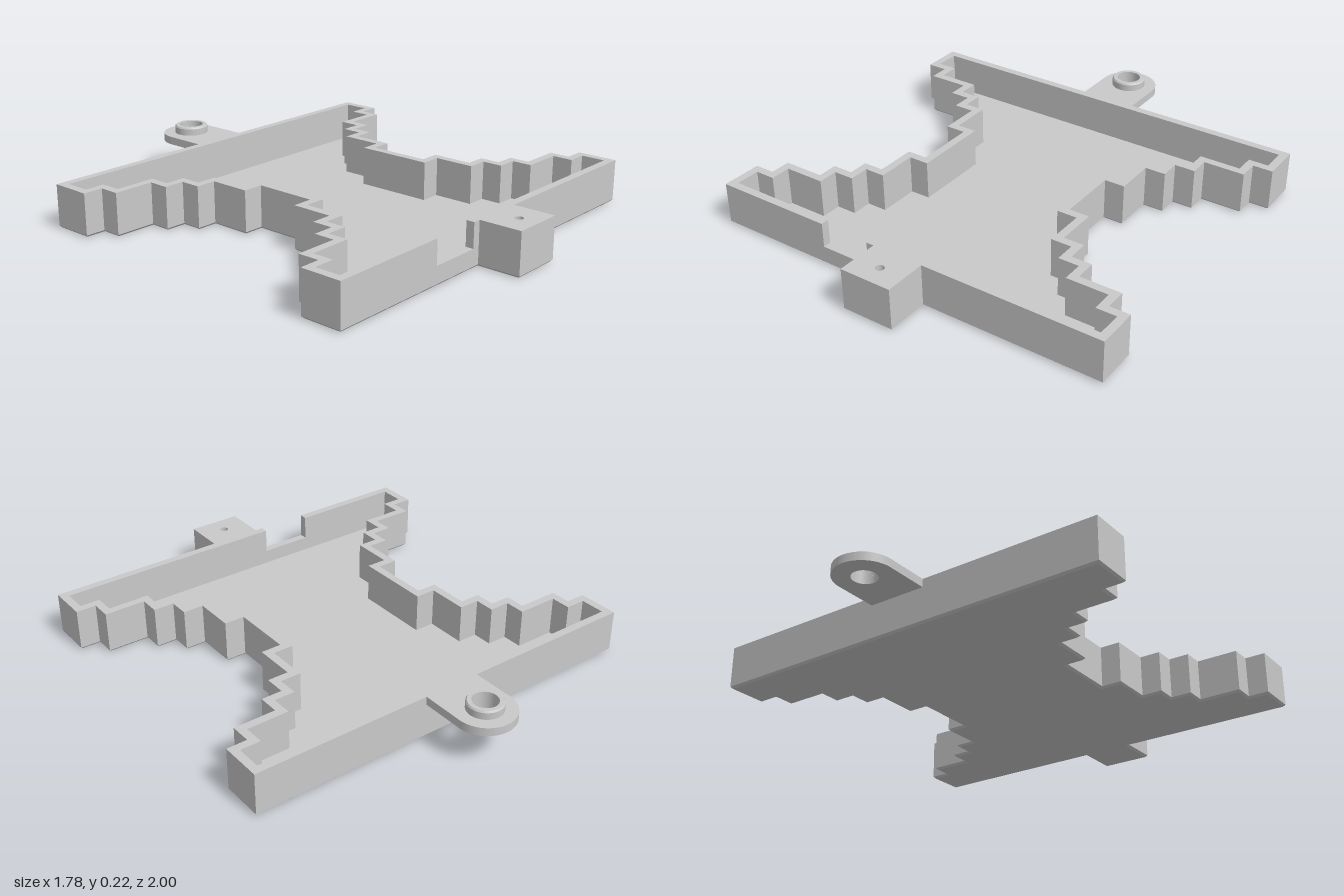
import * as THREE from 'three';

const WALL = 0.035, TOP = 0.185, NOTCH_Y = 0.08, BEVEL = 0.009, FLOOR = 0.018;
const FRONT = 0.818, BACK = -0.693;

// Stepped right-hand edge, [x, z] from back to front
const steps = [
  [0.889, BACK], [0.889, -0.515], [0.802, -0.515], [0.802, -0.427], [0.623, -0.427], [0.623, -0.338],
  [0.534, -0.338], [0.534, -0.249], [0.445, -0.249], [0.445, -0.071], [0.357, -0.071], [0.357, 0.196],
  [0.445, 0.196], [0.445, 0.374], [0.534, 0.374], [0.534, 0.463], [0.623, 0.463], [0.623, 0.552],
  [0.802, 0.552], [0.802, 0.642], [0.889, 0.642], [0.889, FRONT],
];
const block = [[0.113, FRONT], [0.113, 1], [-0.113, 1], [-0.113, FRONT]];

// Offset a right-angled outline inwards
function inset(pts, d) {
  const normal = (a, b) => {
    const dx = b[0] - a[0], dz = b[1] - a[1], l = Math.hypot(dx, dz);
    return [-dz / l, dx / l];
  };
  return pts.map((p, i) => {
    const n1 = normal(pts[(i + pts.length - 1) % pts.length], p);
    const n2 = normal(p, pts[(i + 1) % pts.length]);
    return [p[0] + d * (n1[0] + n2[0]), p[1] + d * (n1[1] + n2[1])];
  });
}

const toVectors = (pts) => pts.map(([x, z]) => new THREE.Vector2(x, -z));

// Holes run anticlockwise, against the clockwise outlines
function circle(x, z, r) {
  return new THREE.Path().absarc(x, -z, r, 0, Math.PI * 2, false);
}

// Extrude a plan shape upwards between two heights
function layer(shape, y0, y1) {
  const g = new THREE.ExtrudeGeometry(shape, { depth: y1 - y0, bevelEnabled: false, curveSegments: 32 });
  return g.rotateX(-Math.PI / 2).translate(0, y0, 0);
}

export function createModel() {
  const group = new THREE.Group();
  const grey = new THREE.MeshStandardMaterial({ color: 0xc9c9c9 });
  grey.name = 'plain grey';
  const add = (name, geometry) => {
    const mesh = new THREE.Mesh(geometry, grey);
    mesh.name = name;
    group.add(mesh);
    return mesh;
  };

  const left = steps.map(([x, z]) => [-x, z]).reverse();
  const body = [...left, ...steps];
  const outer = [...body, ...block];
  const inner = inset(body, WALL);
  const innerReversed = [...inner].reverse();

  // Base plate with its lower rim drawn in
  const base = layer(new THREE.Shape(toVectors(outer)), 0, BEVEL);
  const key = (x, z) => `${Math.round(x * 1000)},${Math.round(z * 1000)}`;
  const lower = inset(outer, BEVEL);
  const moved = new Map(outer.map(([x, z], i) => [key(x, z), lower[i]]));
  const pos = base.attributes.position;
  for (let i = 0; i < pos.count; i++) {
    if (pos.getY(i) > BEVEL / 2) continue;
    const [x, z] = moved.get(key(pos.getX(i), pos.getZ(i)));
    pos.setXYZ(i, x, 0, z);
  }
  base.computeVertexNormals();
  add('basePlate', base);
  add('trayFloor', layer(new THREE.Shape(toVectors(inner)), BEVEL, FLOOR));

  // Closed wall below the notch, including the solid front block
  const lowWall = new THREE.Shape(toVectors(outer));
  lowWall.holes.push(new THREE.Path(toVectors(innerReversed)));
  add('lowerWall', layer(lowWall, BEVEL, NOTCH_Y));

  // Upper wall, left open at the notch in the front side
  const n0 = -0.37, n1 = -0.147, inZ = FRONT - WALL;
  const highWall = new THREE.Shape(toVectors([
    [n0, FRONT], ...outer, [n1, FRONT], [n1, inZ], ...innerReversed, [n0, inZ],
  ]));
  highWall.holes.push(circle(0, 0.915, 0.018));
  add('upperWall', layer(highWall, NOTCH_Y, TOP));

  // Rounded hanging lug at the back
  const lugZ = -0.875, lugR = 0.125, bore = 0.052;
  const lug = new THREE.Shape();
  lug.moveTo(-lugR, -BACK);
  lug.lineTo(lugR, -BACK);
  lug.lineTo(lugR, -lugZ);
  lug.absarc(0, -lugZ, lugR, 0, Math.PI, false);
  lug.closePath();
  lug.holes.push(circle(0, lugZ, bore));
  add('hangingLug', layer(lug, 0.15, TOP));

  // Raised collar round the lug hole, one band per face to keep its edges crisp
  const profile = [[0.074, TOP], [0.074, 0.214], [0.069, 0.221], [bore, 0.221], [bore, TOP]];
  for (let i = 0; i < profile.length - 1; i++) {
    const band = [profile[i], profile[i + 1]].map(([r, y]) => new THREE.Vector2(r, y));
    add('lugCollar', new THREE.LatheGeometry(band, 48)).position.z = lugZ;
  }
  return group;
}
